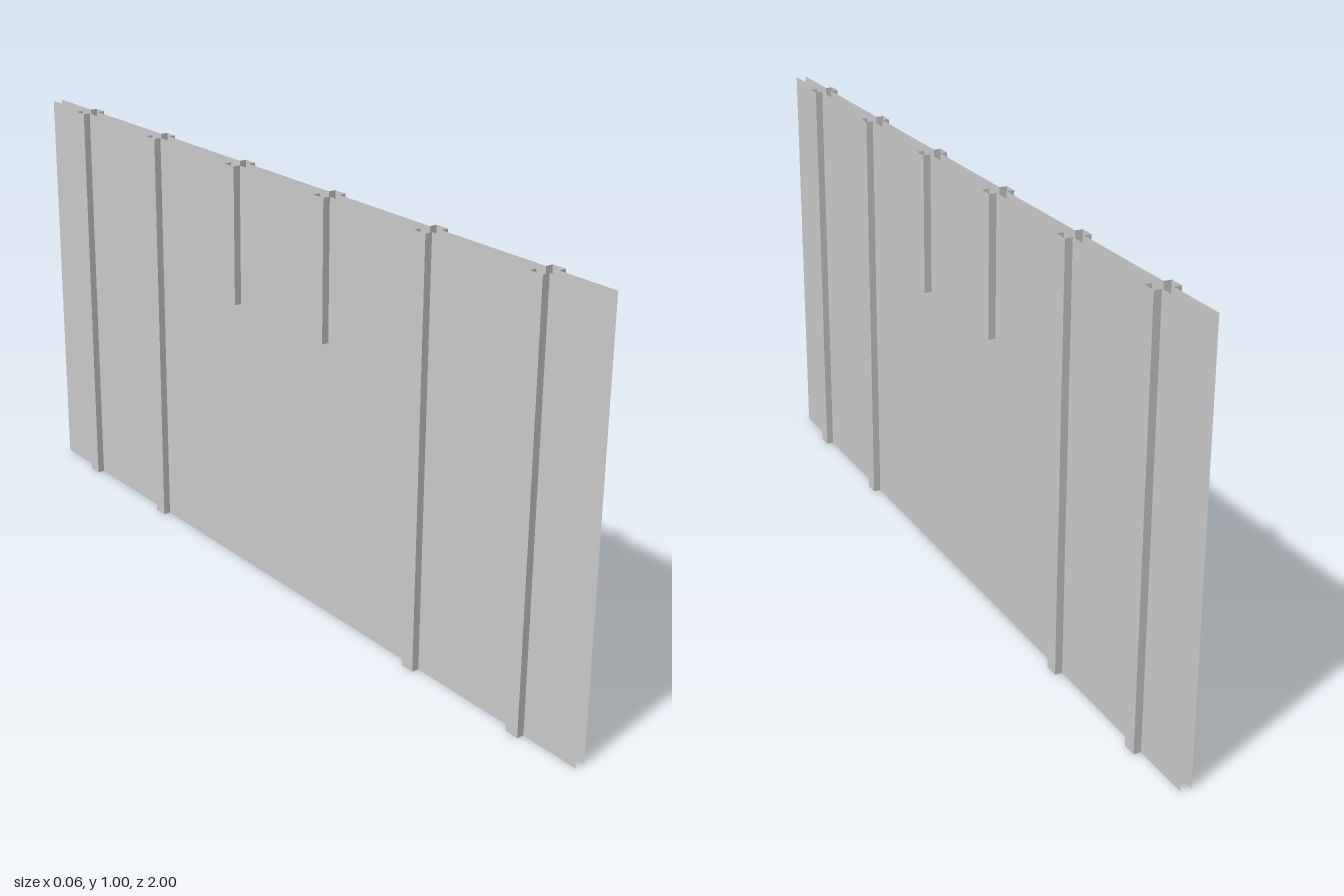
import * as THREE from 'three';

const IN = 0.0125, OUT = 0.03;   // half thickness of the wall, and out to the face of the posts
const POST = 0.035;              // post width along z
const LINTEL = 0.667, DOOR = 0.333, TOP = 1;
const FULL_POSTS = [-0.833, -0.5, 0.5, 0.833];
const SHORT_POSTS = [-0.167, 0.167];

const material = new THREE.MeshStandardMaterial({
  color: 0xcccccc, flatShading: true, side: THREE.DoubleSide,
});

// One thin rectangular sheet, turned about x or y
function sheet(name, w, h, [x, y, z], rotY = 0, rotX = 0) {
  const mesh = new THREE.Mesh(new THREE.PlaneGeometry(w, h), material);
  mesh.name = name;
  mesh.position.set(x, y, z);
  mesh.rotation.set(rotX, rotY, 0);
  return mesh;
}

// Hollow channel standing out from one side of the wall, open at the top
function post(name, side, z, y0, closedBottom) {
  const group = new THREE.Group();
  group.name = name;
  const h = TOP - y0, y = (TOP + y0) / 2, d = OUT - IN, x = side * (IN + OUT) / 2;
  group.add(
    sheet('postFace', POST, h, [side * OUT, y, z], side * Math.PI / 2),
    sheet('postFrontCheek', d, h, [x, y, z + POST / 2]),
    sheet('postBackCheek', d, h, [x, y, z - POST / 2], Math.PI),
  );
  if (closedBottom) group.add(sheet('postFoot', d, POST, [x, y0, z], 0, Math.PI / 2));
  return group;
}

export function createModel() {
  const model = new THREE.Group();
  model.name = 'wallWithDoorway';

  for (const side of [1, -1]) {
    const skin = new THREE.Group();
    skin.name = side > 0 ? 'leftSide' : 'rightSide';

    // Wall panels filling the gaps between posts
    const panels = (y0, y1, posts) => {
      const edges = [-1, ...posts.flatMap((z) => [z - POST / 2, z + POST / 2]), 1];
      for (let i = 0; i < edges.length; i += 2) {
        const a = edges[i], b = edges[i + 1];
        skin.add(sheet('wallPanel', b - a, y1 - y0,
          [side * IN, (y0 + y1) / 2, (a + b) / 2], side * Math.PI / 2));
      }
    };
    panels(0, LINTEL, FULL_POSTS);
    panels(LINTEL, TOP, [...FULL_POSTS, ...SHORT_POSTS].sort((a, b) => a - b));

    for (const z of FULL_POSTS) skin.add(post('fullPost', side, z, 0, false));
    for (const z of SHORT_POSTS) skin.add(post('shortPost', side, z, LINTEL, true));
    model.add(skin);
  }

  // Doorway lining inside the wall: lintel and two jambs
  model.add(sheet('lintel', 2 * IN, 2 * DOOR, [0, LINTEL, 0], 0, Math.PI / 2));
  model.add(sheet('frontJamb', 2 * IN, LINTEL, [0, LINTEL / 2, DOOR], Math.PI));
  model.add(sheet('backJamb', 2 * IN, LINTEL, [0, LINTEL / 2, -DOOR]));
  return model;
}
